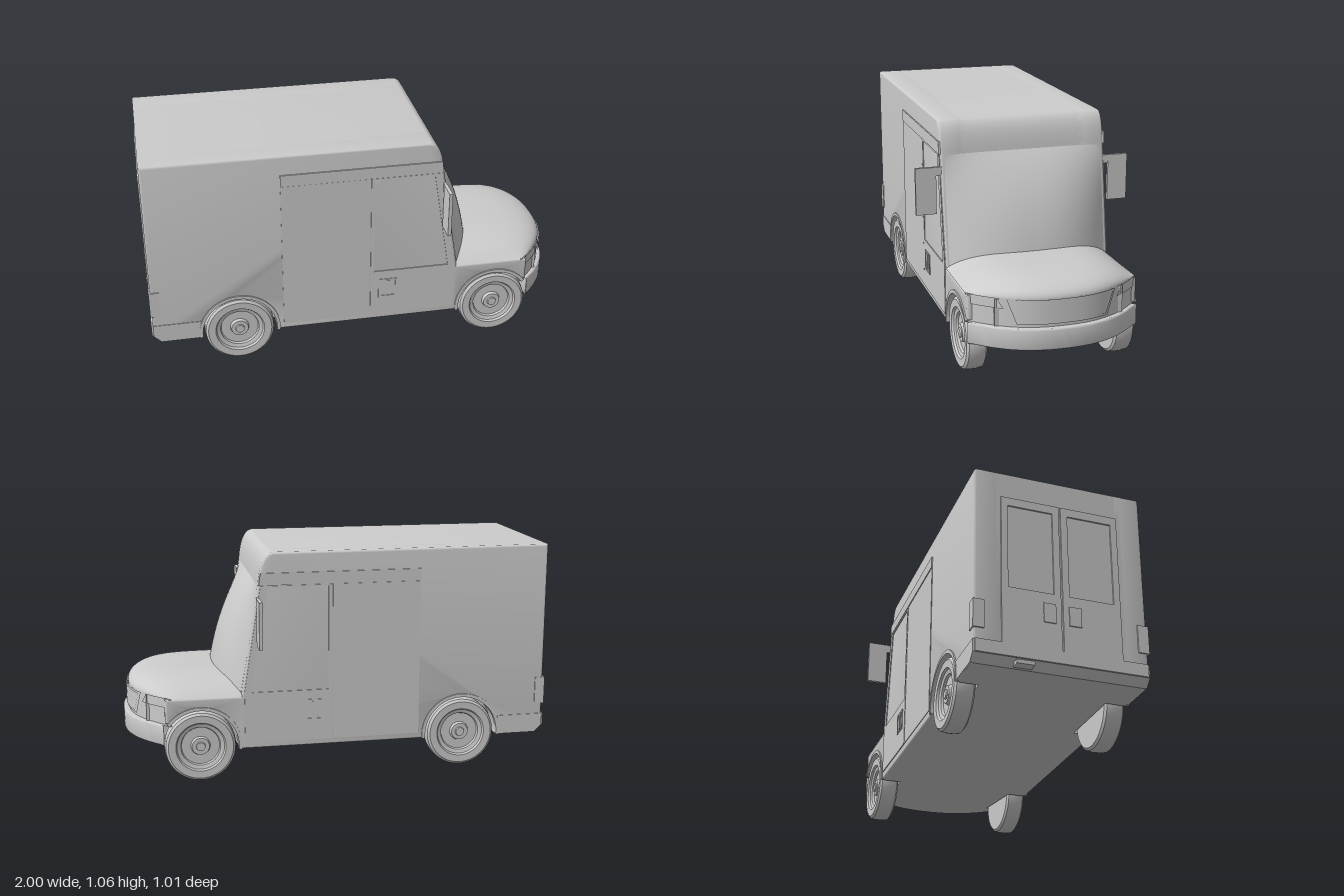
import * as THREE from 'three';
import { toCreasedNormals } from 'three/addons/utils/BufferGeometryUtils.js';
import { ParametricGeometry } from 'three/addons/geometries/ParametricGeometry.js';

const HALF = 0.39;                 // half width of the body
const WHEEL_X = [-0.58, 0.66];
const WHEEL_R = 0.165;
const ARCH_R = 0.178;

// Plan curve of the rounded nose: x as a function of z
const noseX = (z, inset = 0) => 1 - inset - 0.18 * Math.pow(Math.min(1, Math.abs(z) / HALF), 2.4);

export function createModel() {
  const model = new THREE.Group();
  const grey = new THREE.MeshStandardMaterial({ color: 0xcccccc });
  const thin = new THREE.MeshStandardMaterial({ color: 0xcccccc, side: THREE.DoubleSide });

  const add = (name, geo, mat = grey) => {
    const mesh = new THREE.Mesh(geo, mat);
    mesh.name = name;
    model.add(mesh);
    return mesh;
  };
  const box = (name, x0, x1, y0, y1, z0, z1) =>
    add(name, new THREE.BoxGeometry(x1 - x0, y1 - y0, z1 - z0))
      .position.set((x0 + x1) / 2, (y0 + y1) / 2, (z0 + z1) / 2);
  const poly = (pts) => new THREE.Shape(pts.map(([x, y]) => new THREE.Vector2(x, y)));
  const rect = (x0, x1, y0, y1) => poly([[x0, y0], [x1, y0], [x1, y1], [x0, y1]]);
  const extrude = (shape, depth, bevel = 0) => toCreasedNormals(new THREE.ExtrudeGeometry(shape, {
    depth: depth - 2 * bevel, curveSegments: 24, bevelEnabled: bevel > 0,
    bevelSize: bevel, bevelThickness: bevel, bevelOffset: -bevel, bevelSegments: 3,
  }).translate(0, 0, bevel), 0.6);
  // The same flat panel on both sides, between z0 and z1 from the centre plane
  const sidePanels = (name, shape, z0, z1, bevel = 0) => {
    const geo = extrude(shape, z1 - z0, bevel);
    add(name, geo).position.z = z0;
    add(name, geo).position.z = -z1;
  };

  // Side outline of the body, with or without wheel arches
  const bodyOutline = (arches) => {
    const s = new THREE.Shape();
    s.moveTo(-0.985, 0.18);
    s.lineTo(-0.95, 0.145);
    if (arches) {
      const dy = 0.145 - WHEEL_R;
      const a = Math.asin(dy / ARCH_R);
      s.lineTo(WHEEL_X[0] - ARCH_R * Math.cos(a), 0.145);
      s.absarc(WHEEL_X[0], WHEEL_R, ARCH_R, Math.PI - a, a, true);
      s.lineTo(WHEEL_X[1] - ARCH_R * Math.cos(a), 0.145);
      s.absarc(WHEEL_X[1], WHEEL_R, ARCH_R, Math.PI - a, 0.7, true);
      s.lineTo(0.82, 0.285);
      s.lineTo(0.82, 0.4);
    } else {
      s.lineTo(0.5, 0.145);
      s.lineTo(0.9, 0.185);
      s.lineTo(0.9, 0.4);
    }
    s.lineTo(0.47, 0.4);
    s.lineTo(0.388, 0.91);
    s.quadraticCurveTo(0.375, 1.06, 0.315, 1.062);
    s.lineTo(-0.985, 1.062);
    s.closePath();
    return s;
  };
  add('bodyCore', extrude(bodyOutline(false), 0.58)).position.z = -0.29;
  sidePanels('bodySide', bodyOutline(true), 0.26, HALF, 0.012);

  // Windscreen, bowed forward and towards the bottom
  add('windscreen', new ParametricGeometry((u, v, p) => {
    const y = 0.4 + 0.512 * u, t = 2 * v - 1, s = 1 - u;
    const bulge = 0.115 * (1 - Math.pow(1 - s, 2.7)) * (1 - Math.pow(Math.abs(t), 2.5));
    p.set(0.387 + 0.085 * s + bulge, y, 0.374 * t);
  }, 24, 32), thin);

  // Hood, rounded down to the fenders and the nose
  add('hood', new ParametricGeometry((u, v, p) => {
    const t = 2 * u - 1, z = HALF * t;
    const k = Math.sin(v * Math.PI / 2);
    const side = 0.082 * (1 - Math.pow(Math.abs(t), 4));
    p.set(0.44 + (noseX(z, 0.025) - 0.44) * k, 0.4 + side * Math.sqrt(Math.max(0, 1 - Math.pow(k, 5))), z);
  }, 40, 30), thin);

  // Nose and bumper follow the same plan curve
  const nosePiece = (name, inset, back, y0, y1, half, bevel) => {
    const pts = [[back, half], [back, -half]];
    for (let i = 0; i <= 32; i++) {
      const z = half * (i / 16 - 1);
      pts.push([Math.max(back + 0.002, noseX(z, inset)), -z * -1]);
    }
    const geo = extrude(poly(pts), y1 - y0, bevel);
    geo.rotateX(-Math.PI / 2);
    add(name, geo).position.y = y0;
  };
  nosePiece('nose', 0.025, 0.79, 0.27, 0.402, 0.389, 0);
  nosePiece('frontBumper', 0, 0.826, 0.18, 0.278, 0.39, 0.008);

  // Thin frames wrapped on the nose: z limits may taper from bottom to top
  const nosePatch = (name, zb0, zb1, zt0, zt1, y0, y1, inset) =>
    add(name, new ParametricGeometry((u, v, p) => {
      const z = THREE.MathUtils.lerp(zb0 + (zb1 - zb0) * v, zt0 + (zt1 - zt0) * v, u);
      p.set(noseX(z, inset), y0 + (y1 - y0) * u, z);
    }, 2, 24), thin);
  nosePatch('grilleFrame', -0.205, 0.205, -0.245, 0.245, 0.292, 0.402, 0.019);
  nosePatch('grille', -0.195, 0.195, -0.232, 0.232, 0.303, 0.395, 0.015);
  for (const s of [-1, 1]) {
    const [a, b] = s > 0 ? [0.255, 0.385] : [-0.385, -0.255];
    nosePatch('headlight', a, b, s > 0 ? 0.285 : a, s > 0 ? b : -0.285, 0.36, 0.405, 0.017);
  }

  // Side doors: sliding rear leaf, front leaf with window opening, rail above
  sidePanels('slidingDoor', rect(-0.37, 0.042, 0.175, 0.91), 0.38, 0.393);
  const frontDoor = poly([[0.047, 0.175], [0.455, 0.175], [0.455, 0.42], [0.376, 0.91], [0.047, 0.91]]);
  frontDoor.holes.push(poly([[0.063, 0.415], [0.063, 0.903], [0.343, 0.903], [0.422, 0.415]]));
  sidePanels('frontDoor', frontDoor, 0.38, 0.394);
  sidePanels('doorRail', poly([[-0.37, 0.912], [0.384, 0.912], [0.376, 0.968], [-0.37, 0.968]]), 0.38, 0.396);
  const handle = rect(0.085, 0.175, 0.27, 0.37);
  handle.holes.push(rect(0.093, 0.167, 0.278, 0.362));
  sidePanels('doorHandleFrame', handle, 0.39, 0.397);
  sidePanels('doorHandle', rect(0.12, 0.14, 0.285, 0.36), 0.39, 0.397);

  // Raised lips around the wheel arches, and the lower rear trim
  for (const x of WHEEL_X) {
    const end = x > 0 ? 0.65 : -0.1;
    const lip = new THREE.Shape();
    lip.absarc(x, WHEEL_R, 0.192, end, Math.PI + 0.1, false);
    lip.absarc(x, WHEEL_R, 0.176, Math.PI + 0.1, end, true);
    lip.closePath();
    sidePanels('archLip', lip, 0.37, 0.396);
  }
  sidePanels('rearSkirt', poly([[-0.985, 0.18], [-0.95, 0.147], [-0.77, 0.147], [-0.762, 0.238], [-0.985, 0.238]]), 0.37, 0.393);

  // Wheels
  const profile = [[0, -0.047], [0.15, -0.047], [0.161, -0.038], [0.165, -0.015], [0.165, 0.015],
    [0.161, 0.038], [0.15, 0.047], [0.116, 0.046], [0.11, 0.036], [0.092, 0.031], [0.088, 0.02],
    [0.045, 0.02], [0.04, 0.035], [0.022, 0.035], [0.02, 0.042], [0, 0.042]];
  const wheelGeo = toCreasedNormals(
    new THREE.LatheGeometry(profile.map(([r, y]) => new THREE.Vector2(r, y)), 48), 0.6);
  for (const x of WHEEL_X) for (const s of [-1, 1]) {
    const wheel = add('wheel', wheelGeo);
    wheel.rotation.x = s * Math.PI / 2;
    wheel.position.set(x, WHEEL_R, s * 0.342);
  }

  for (const s of [-1, 1]) {
    const span = (a, b) => (s > 0 ? [a, b] : [-b, -a]);
    // Mirrors on short arms
    box('mirror', 0.382, 0.398, 0.64, 0.857, ...span(0.412, 0.507));
    box('mirrorArm', 0.384, 0.396, 0.817, 0.857, ...span(0.37, 0.415));
    // Tail lights around the rear corners
    box('tailLight', -0.992, -0.945, 0.29, 0.42, ...span(0.345, 0.395));
    // Rear door leaf with a window opening and a handle
    const [z0, z1] = span(0.004, 0.27);
    const [w0, w1] = span(0.035, 0.24);
    const leaf = rect(z0, z1, 0.2, 0.94);
    leaf.holes.push(rect(w0, w1, 0.5, 0.9));
    const door = add('rearDoor', extrude(leaf, 0.008));
    door.rotation.y = -Math.PI / 2;
    door.position.x = -0.984;
    box('rearDoorHandle', -0.997, -0.985, 0.36, 0.45, ...span(0.03, 0.085));
  }
  // Rear bumper strip and step
  box('rearBumper', -0.993, -0.95, 0.18, 0.238, -0.385, 0.385);
  box('rearStep', -1, -0.93, 0.15, 0.168, -0.21, -0.13);
  return model;
}
